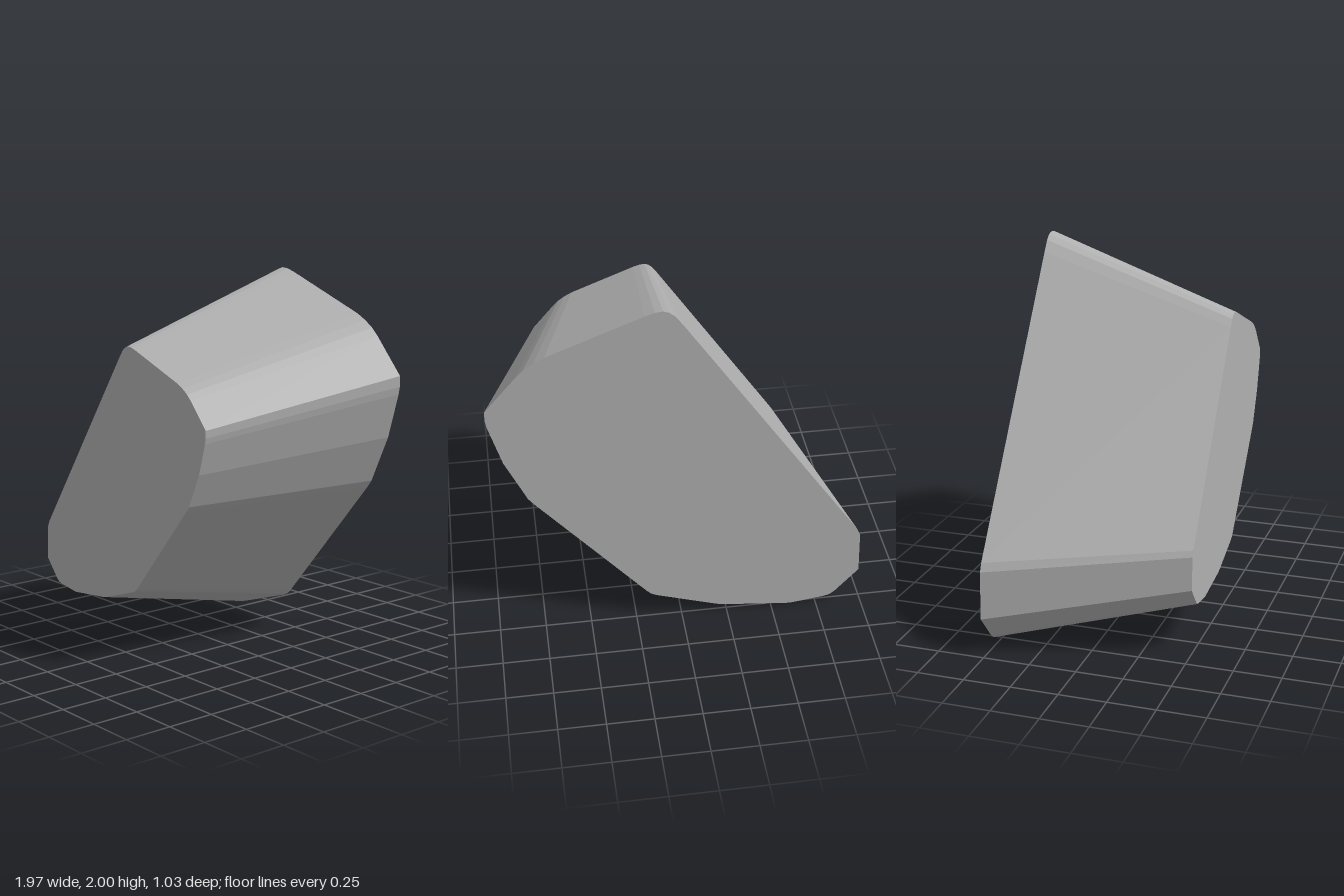
import * as THREE from 'three';

// Rear outline, counter-clockwise seen from the front
const OUTLINE = [
  [-0.605, 0], [-0.23, 0.04], [-0.19, 0.05], [0.14, 0.16], [0.17, 0.175], [0.195, 0.2],
  [0.77, 0.885], [0.8, 0.925], [0.82, 0.97], [0.91, 1.17], [0.975, 1.4], [0.982, 1.44],
  [0.982, 1.495], [0.82, 1.685], [0.78, 1.725], [0.73, 1.76], [0.675, 1.79],
  [0.19, 1.98], [0.14, 1.996], [0.1, 2], [0.07, 1.99], [0.04, 1.965], [0, 1.91],
  [-0.955, 0.505], [-0.975, 0.46], [-0.985, 0.205], [-0.86, 0.06], [-0.83, 0.035], [-0.79, 0.025],
];
const DEPTH = 1.03;
const TAPER = 0.7; // size of the front face relative to the back

export function createModel() {
  const group = new THREE.Group();
  group.name = 'taperedBlock';
  const grey = new THREE.MeshStandardMaterial({ color: 0xb0b0b0 });
  grey.name = 'grey';

  // Solid block, narrowing evenly from back to front
  const shape = new THREE.Shape(OUTLINE.map(([x, y]) => new THREE.Vector2(x, y)));
  const geometry = new THREE.ExtrudeGeometry(shape, { depth: DEPTH, bevelEnabled: false });
  const pos = geometry.attributes.position;
  for (let i = 0; i < pos.count; i++) {
    const t = pos.getZ(i) / DEPTH;
    const s = 1 - (1 - TAPER) * t;
    pos.setXYZ(i, pos.getX(i) * s - 0.01 * t, pos.getY(i) * s + 0.24 * t, pos.getZ(i) - DEPTH / 2);
  }
  geometry.computeVertexNormals();

  const block = new THREE.Mesh(geometry, grey);
  block.name = 'block';
  group.add(block);
  return group;
}
